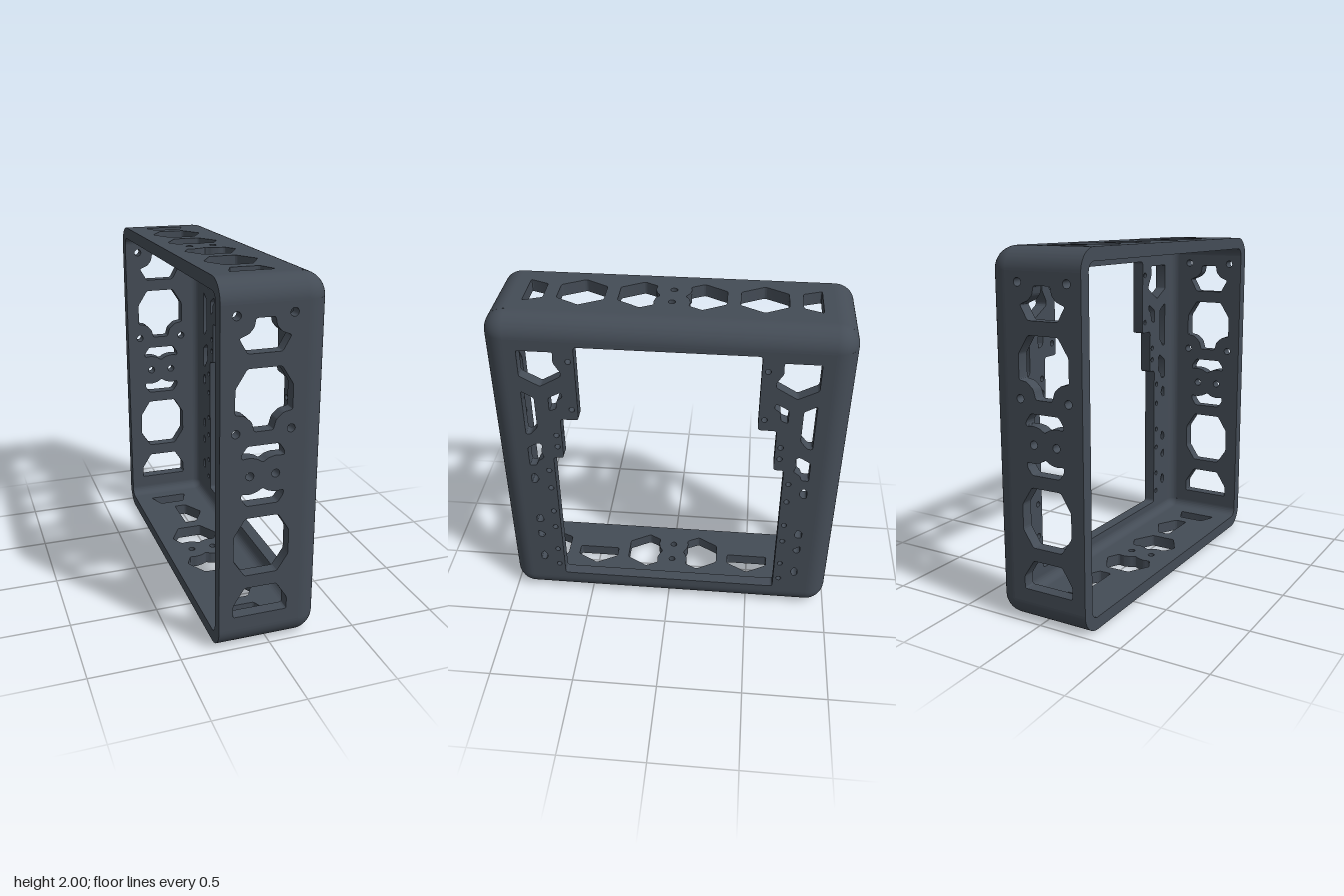
import * as THREE from 'three';
import { toCreasedNormals } from 'three/addons/utils/BufferGeometryUtils.js';

const T = 0.07, R = 0.12, X0 = -0.29, X1 = 0.285, CX = -0.06; // wall, edge radius, x limits, hole axis
const XF = X1 - R, F = 1 - R; // limits of the flat areas

// Closed outline with slightly rounded corners
function rounded(pts, r = 0.012, path = new THREE.Path()) {
  const v = pts.map(p => new THREE.Vector2(...p));
  v.forEach((p, i) => {
    const toward = q => p.clone().lerp(q, Math.min(0.45, r / p.distanceTo(q)));
    const a = toward(v[(i + v.length - 1) % v.length]);
    const b = toward(v[(i + 1) % v.length]);
    if (i) path.lineTo(a.x, a.y); else path.moveTo(a.x, a.y);
    path.quadraticCurveTo(p.x, p.y, b.x, b.y);
  });
  path.closePath();
  return path;
}
const circle = (x, y, r) => new THREE.Path().absarc(x, y, r, 0, Math.PI * 2);
const mirror = pts => pts.map(([x, y]) => [-x, y]);
const flip = pts => pts.map(([x, y]) => [x, -y]);
const shift = (pts, dx, dy = 0) => pts.map(([x, y]) => [x + dx, y + dy]);
// Full outline from its right half
const sym = half => [...half, ...mirror(half).reverse().filter(p => p[0] !== 0)];

function extrude(shape, depth, curveSegments) {
  const g = new THREE.ExtrudeGeometry(shape, { depth, bevelEnabled: false, curveSegments });
  return toCreasedNormals(g, 0.6);
}
function panel(x0, x1, y0, y1, holes) {
  const s = new THREE.Shape([[x0, y0], [x1, y0], [x1, y1], [x0, y1]].map(p => new THREE.Vector2(...p)));
  s.holes.push(...holes);
  return extrude(s, T, 8);
}

// Front and back: vents and screw holes
function endPanel() {
  const slot = sym([[0, 0.07], [0.03, 0.09], [0.07, 0.1], [0.115, 0.095], [0.115, 0.12], [0.085, 0.163]]);
  const vents = [
    sym([[0.05, 1.81], [0.058, 1.765], [0.085, 1.735], [0.135, 1.715], [0.09, 1.637]]),
    sym([[0.09, 1.563], [0.152, 1.465], [0.152, 1.333], [0.105, 1.325], [0.065, 1.29], [0.05, 1.237]]),
    shift(slot, 0, 1), shift(flip(slot), 0, 1),
    sym([[0.09, 0.768], [0.152, 0.67], [0.152, 0.53], [0.09, 0.437]]),
    sym([[0.09, 0.362], [0.152, 0.265], [0.152, 0.195]]),
  ];
  const holes = vents.map(p => rounded(shift(p, CX)));
  for (const s of [-1, 1])
    for (const [u, y] of [[0.147, 1.825], [0.147, 1.235], [0.07, 1]]) holes.push(circle(CX + s * u, y, 0.022));
  return panel(X0, XF, R, 2 - R, holes);
}

// Top and bottom: the bottom has half hexagons at the outer positions
function flatPanel(halfHex) {
  const hex = halfHex
    ? [[0, 0.63], [0.075, 0.63], [0.148, 0.5], [0.075, 0.37], [0, 0.37]]
    : sym([[0.075, 0.63], [0.148, 0.5], [0.075, 0.37]]);
  const vents = [
    sym([[0.122, 0.81], [0.08, 0.705]]), hex,
    sym([[0.075, 0.295], [0.148, 0.168], [0.108, 0.093], [0.07, 0.1], [0.03, 0.09], [0, 0.07]]),
  ];
  const holes = vents.flatMap(p => [rounded(shift(p, CX)), rounded(shift(flip(p), CX))]);
  for (const s of [-1, 1]) holes.push(circle(CX + s * 0.07, 0, 0.02));
  return panel(X0, XF, -F, F, holes);
}

// Side face: stepped opening, vents and screw holes on both flanges
function facePanel() {
  const opening = sym([[0.665, 0.16], [0.665, 1.105], [0.605, 1.105], [0.605, 1.38], [0.5, 1.38], [0.5, 1.85]]);
  const vents = [
    [[0.812, 1.815], [0.614, 1.815], [0.617, 1.75], [0.58, 1.69], [0.58, 1.665], [0.7, 1.595], [0.812, 1.655]],
    [[0.812, 1.555], [0.742, 1.515], [0.742, 1.315], [0.785, 1.265], [0.812, 1.265]],
    [[0.662, 1.52], [0.59, 1.56], [0.58, 1.53], [0.615, 1.505], [0.622, 1.45], [0.662, 1.435]],
    [[0.812, 1.165], [0.745, 1.205], [0.725, 1.19], [0.735, 1.14], [0.72, 1.1], [0.76, 1.07], [0.77, 1.04], [0.812, 1.035]],
    [[0.812, 0.96], [0.788, 0.98], [0.765, 0.935], [0.785, 0.905], [0.812, 0.905]],
    [[0.812, 0.635], [0.783, 0.655], [0.765, 0.61], [0.78, 0.59], [0.812, 0.59]],
    [[0.812, 0.52], [0.765, 0.49], [0.785, 0.46], [0.812, 0.47]],
    [[0.812, 0.32], [0.788, 0.34], [0.768, 0.3], [0.785, 0.265], [0.812, 0.275]],
  ];
  const screws = [[0.533, 1.76], [0.533, 1.45], [0.635, 1.265], [0.635, 1.185], [0.7, 1.005],
    [0.7, 0.87], [0.7, 0.685], [0.7, 0.555], [0.7, 0.365], [0.7, 0.235]];
  const holes = [rounded(opening, 0.02)];
  for (const p of vents) holes.push(rounded(p), rounded(mirror(p)));
  for (const [z, y] of screws) holes.push(circle(z, y, 0.016), circle(-z, y, 0.016));
  return panel(-F, F, R, 2 - R, holes);
}

// Quarter-round edge strip
function edge(length) {
  const s = new THREE.Shape();
  s.absarc(0, 0, R, 0, Math.PI / 2);
  s.absarc(0, 0, R - T, Math.PI / 2, 0, true);
  return extrude(s, length, 10);
}

export function createModel() {
  const model = new THREE.Group();
  model.name = 'ventedFrame';
  const mat = new THREE.MeshStandardMaterial({ color: 0x444c56, side: THREE.DoubleSide });
  const add = (name, geo, x = 0, y = 0, z = 0) => {
    const m = new THREE.Mesh(geo, mat);
    m.name = name;
    m.position.set(x, y, z);
    model.add(m);
  };

  // Flat walls
  add('frontPanel', endPanel(), 0, 0, 1 - T);
  add('backPanel', endPanel(), 0, 0, -1);
  add('topPanel', flatPanel(false).rotateX(-Math.PI / 2), 0, 2 - T, 0);
  add('bottomPanel', flatPanel(true).rotateX(-Math.PI / 2), 0, 0, 0);
  add('facePanel', facePanel().rotateY(Math.PI / 2), X1 - T, 0, 0);

  // Rounded edges and corners, repeated around the square section
  for (let k = 0; k < 4; k++) {
    const a = k * Math.PI / 2;
    const ball = r => new THREE.SphereGeometry(r, 10, 10, Math.PI / 2, Math.PI / 2, 0, Math.PI / 2)
      .translate(XF, F, F).rotateX(a);
    add('sideEdge', edge(XF - X0).rotateY(-Math.PI / 2).translate(XF, F, F).rotateX(a), 0, 1, 0);
    add('faceEdge', edge(2 * F).translate(XF, F, -F).rotateX(a), 0, 1, 0);
    add('outerCorner', ball(R), 0, 1, 0);
    add('innerCorner', ball(R - T), 0, 1, 0);
  }
  return model;
}
